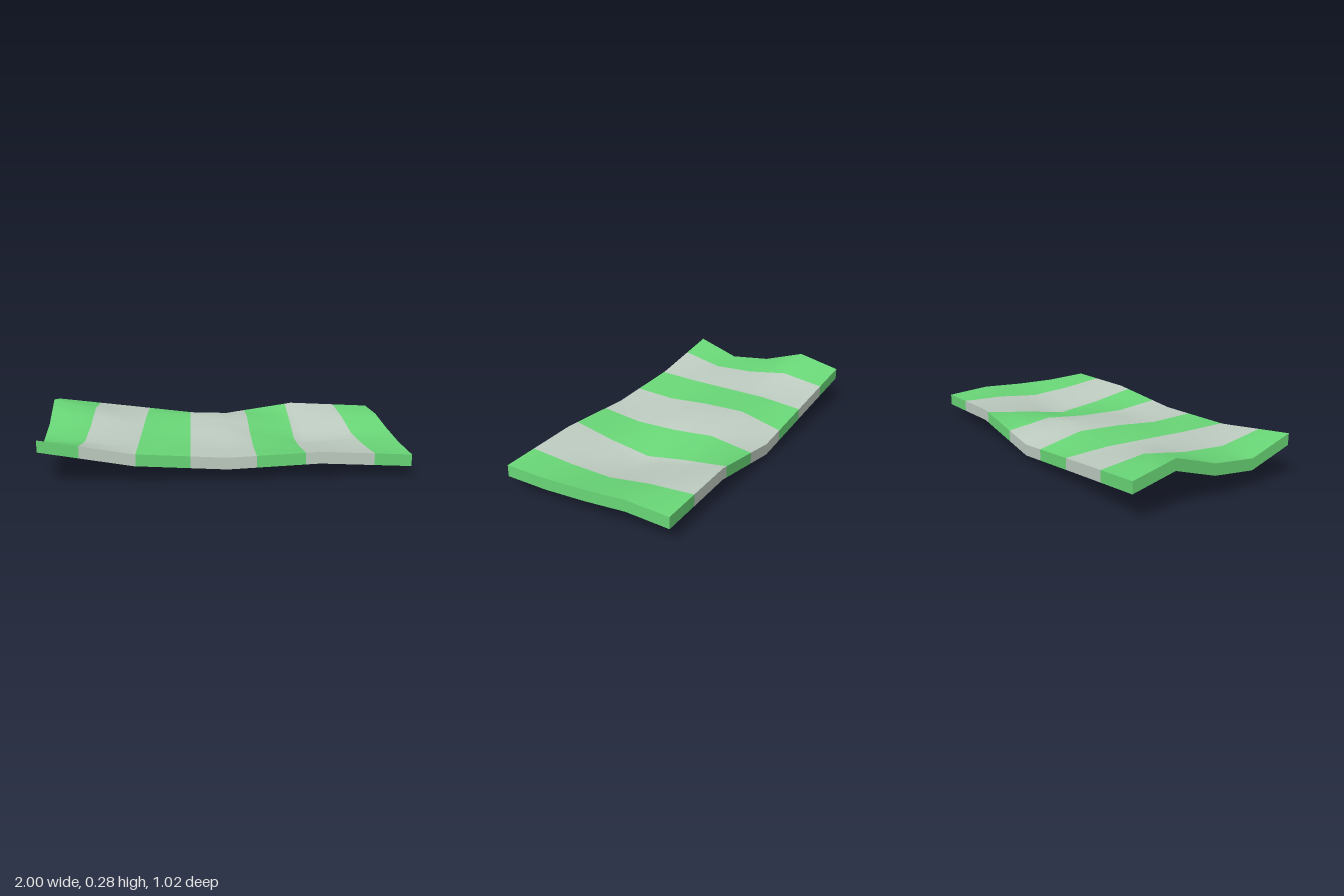
import * as THREE from 'three';
import { toCreasedNormals } from 'three/addons/utils/BufferGeometryUtils.js';

const HALF_DEPTH = 0.51, THICKNESS = 0.066, ROWS = 8;

// heights of the rumpled cloth: rows run back to front, columns x = -1 to 1
const HEIGHTS = [
  [0.228, 0.165, 0.100, 0.172, 0.143],
  [0.285, 0.170, 0.182, 0.121, 0.156],
  [0.200, 0.168, 0.165, 0.066, 0.136],
  [0.170, 0.166, 0.125, 0.105, 0.125],
  [0.255, 0.167, 0.136, 0.157, 0.130],
];

// x of each cut at the back and front edge, and the colour that follows it
const CUTS = [
  [-1, -1, 0], [-0.74, -0.785, 1], [-0.5, -0.5, 1], [-0.425, -0.49, 0], [-0.16, -0.2, 1],
  [0, 0, 1], [0.19, 0.155, 0], [0.46, 0.42, 1], [0.5, 0.5, 1], [0.78, 0.795, 0], [1, 1, 0],
];

function heightAt(x, z) {
  const u = (x + 1) * 2, v = (z / HALF_DEPTH + 1) * 2;
  const i = Math.min(3, Math.floor(u)), j = Math.min(3, Math.floor(v));
  const { lerp } = THREE.MathUtils;
  return lerp(
    lerp(HEIGHTS[j][i], HEIGHTS[j][i + 1], u - i),
    lerp(HEIGHTS[j + 1][i], HEIGHTS[j + 1][i + 1], u - i), v - j);
}

function clothGeometry() {
  const cols = CUTS.length, layer = cols * (ROWS + 1);
  const positions = [], byColour = [[], []];

  // top layer of points, then the same points lowered
  for (const drop of [0, THICKNESS]) {
    for (let r = 0; r <= ROWS; r++) {
      const t = r / ROWS, z = (t * 2 - 1) * HALF_DEPTH;
      for (const [back, front] of CUTS) {
        const x = THREE.MathUtils.lerp(back, front, t);
        positions.push(x, heightAt(x, z) - drop, z);
      }
    }
  }

  const quad = (colour, a, b, c, d) => byColour[colour].push(a, b, c, a, c, d);
  const wall = (colour, a, b) => quad(colour, a, a + layer, b + layer, b);

  for (let c = 0; c < cols - 1; c++) {
    const colour = CUTS[c][2];
    for (let r = 0; r < ROWS; r++) {
      const a = r * cols + c, d = a + cols;
      quad(colour, a, d, d + 1, a + 1);
      quad(colour, a + layer, a + 1 + layer, d + 1 + layer, d + layer);
    }
    // front and back hems
    const front = ROWS * cols + c;
    wall(colour, front, front + 1);
    wall(colour, c + 1, c);
  }
  // side hems
  for (let r = 0; r < ROWS; r++) {
    const a = r * cols, b = a + cols - 1;
    wall(0, a, a + cols);
    wall(0, b + cols, b);
  }

  const geometry = new THREE.BufferGeometry();
  geometry.setAttribute('position', new THREE.Float32BufferAttribute(positions, 3));
  geometry.setIndex([...byColour[0], ...byColour[1]]);
  geometry.addGroup(0, byColour[0].length, 0);
  geometry.addGroup(byColour[0].length, byColour[1].length, 1);
  return toCreasedNormals(geometry, 0.9);
}

export function createModel() {
  const green = new THREE.MeshStandardMaterial({ color: 0x6ad878 });
  green.name = 'green stripe';
  const grey = new THREE.MeshStandardMaterial({ color: 0xbfcdc2 });
  grey.name = 'pale grey stripe';

  const group = new THREE.Group();
  group.name = 'stripedTowel';
  const cloth = new THREE.Mesh(clothGeometry(), [green, grey]);
  cloth.name = 'cloth';
  group.add(cloth);
  return group;
}
